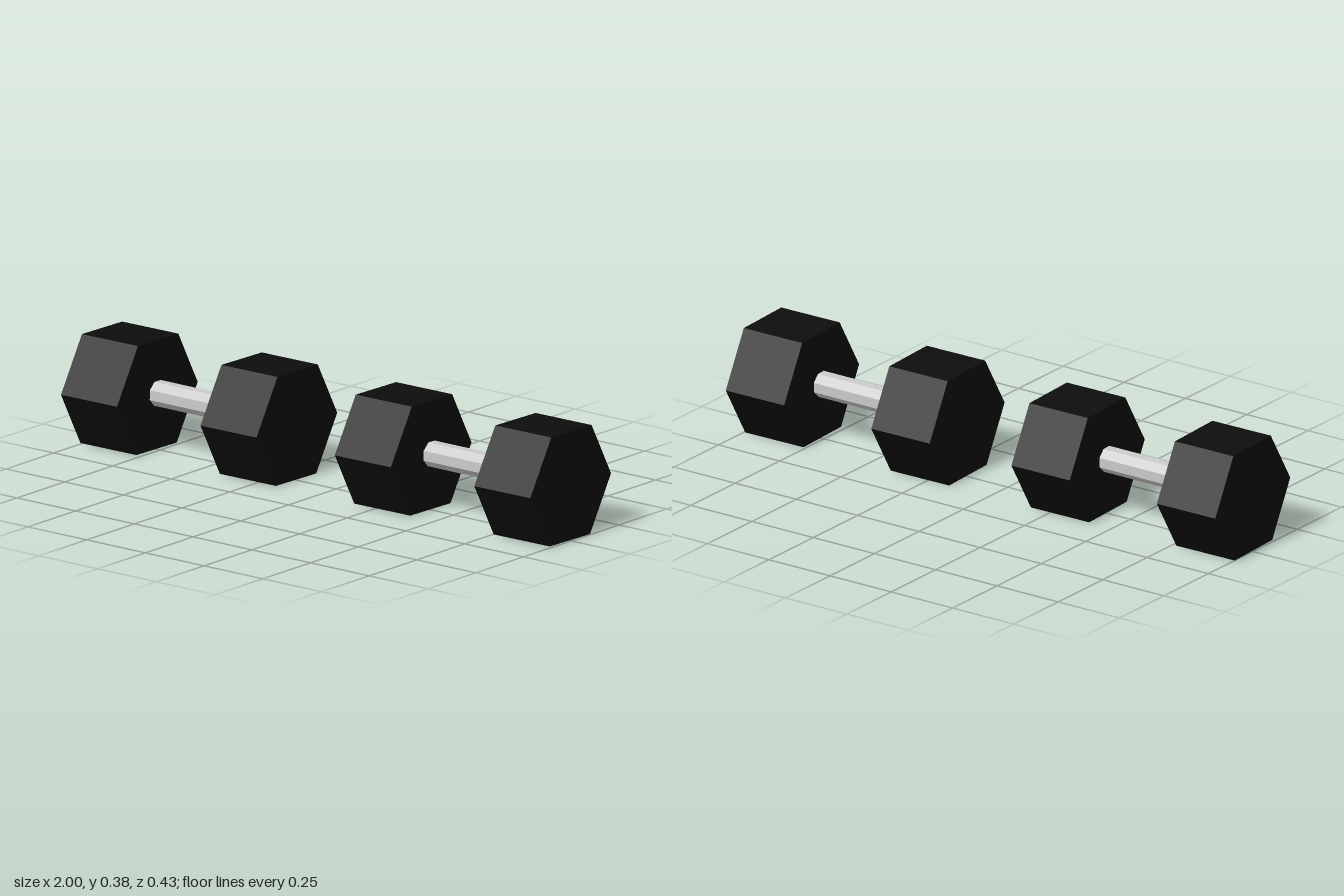
import * as THREE from 'three';

const AXIS_Y = 0.19;

// Prism lying along x, turned about its own axis by roll
function prism(name, radius, length, sides, roll, material) {
  const geometry = new THREE.CylinderGeometry(radius, radius, length, sides);
  geometry.rotateZ(Math.PI / 2);
  geometry.rotateX(roll);
  const mesh = new THREE.Mesh(geometry, material);
  mesh.name = name;
  return mesh;
}

export function createModel() {
  const rubber = new THREE.MeshStandardMaterial({ color: 0x0d0d0d, flatShading: true });
  rubber.name = 'black rubber';
  const steel = new THREE.MeshStandardMaterial({ color: 0xcacaca, flatShading: true });
  steel.name = 'pale steel';

  const model = new THREE.Group();
  model.name = 'dumbbellPair';

  // Two dumbbells laid end to end
  for (const [side, centre] of [['right', -0.584], ['left', 0.582]]) {
    const dumbbell = new THREE.Group();
    dumbbell.name = side + 'Dumbbell';
    dumbbell.position.set(centre, AXIS_Y, 0);

    // Hexagonal heads, slightly rolled and skewed
    for (const s of [-1, 1]) {
      const head = prism(s < 0 ? 'rightHead' : 'leftHead', 0.215, 0.236, 6, -0.022, rubber);
      head.position.x = s * 0.297;
      head.rotation.y = 0.014;
      dumbbell.add(head);
    }

    // Octagonal handle
    const handle = prism('handle', 0.044, 0.42, 8, Math.PI / 8 - 0.022, steel);
    handle.position.set(0, 0.005, -0.002);
    dumbbell.add(handle);

    model.add(dumbbell);
  }
  return model;
}
